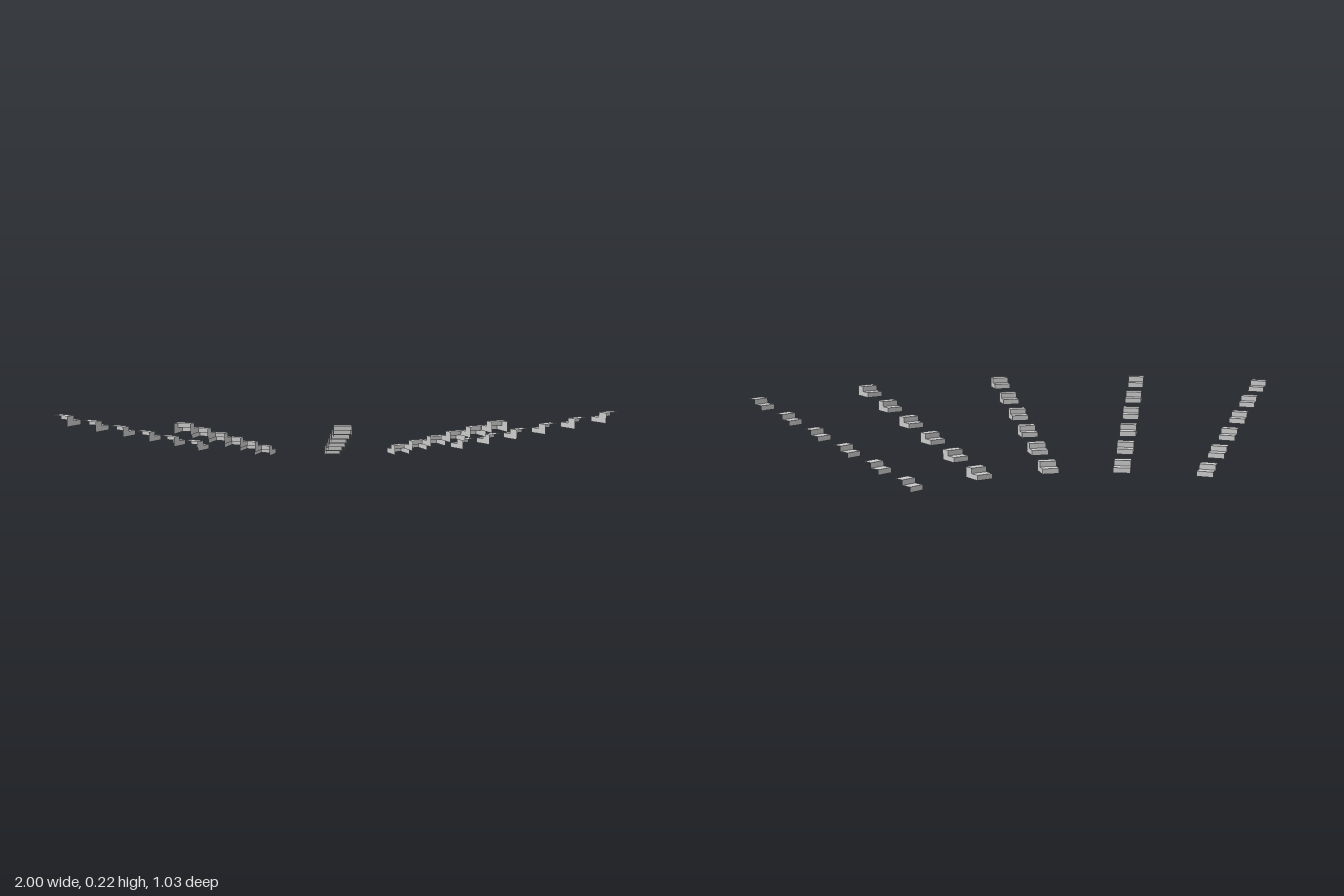
import * as THREE from 'three';

const W = 0.06, D = 0.037, H = 0.01875; // step width, depth and height
const mat = new THREE.MeshStandardMaterial({ color: 0xcccccc, side: THREE.DoubleSide, flatShading: true });

// Stepped side panel, drawn in the z-y plane
const profile = new THREE.Shape([[-D, 0], [D, 0], [D, 2 * H], [0, 2 * H], [0, H], [-D, H]]
  .map(([z, y]) => new THREE.Vector2(z, y)));
const sideGeo = new THREE.ShapeGeometry(profile).rotateY(-Math.PI / 2);
const treadGeo = new THREE.PlaneGeometry(W, D).rotateX(-Math.PI / 2);
const riserGeo = new THREE.PlaneGeometry(W, H).rotateY(Math.PI);

function add(group, name, geo, x, y, z) {
  const mesh = new THREE.Mesh(geo, mat);
  mesh.name = name;
  mesh.position.set(x, y, z);
  group.add(mesh);
}

// Two-step block, open at the back and underneath; the high step faces local +z
function stepBlock(sides) {
  const g = new THREE.Group();
  g.name = 'stepBlock';
  for (let i = 0; i < 2; i++) {
    add(g, 'riser', riserGeo, 0, (i + 0.5) * H, (i - 1) * D);
    add(g, 'tread', treadGeo, 0, (i + 1) * H, (i - 0.5) * D);
  }
  for (const s of sides) {
    const geo = s > 0 ? sideGeo.clone().scale(-1, 1, 1) : sideGeo;
    if (s > 0) { // keep the panel facing outwards
      const a = geo.index.array;
      for (let i = 0; i < a.length; i += 3) [a[i], a[i + 1]] = [a[i + 1], a[i]];
      geo.computeVertexNormals();
    }
    add(g, 'sidePanel', geo, s * W / 2, 0, 0);
  }
  return g;
}

// A straight aisle of six blocks rising outwards from start to end (x, z)
function aisle(name, start, end, sides) {
  const g = new THREE.Group();
  g.name = name;
  const angle = Math.atan2(end[0] - start[0], end[1] - start[1]);
  for (let k = 0; k < 6; k++) {
    const t = k / 5, block = stepBlock(sides);
    block.position.set(
      THREE.MathUtils.lerp(start[0], end[0], t), 2 * H * k,
      THREE.MathUtils.lerp(start[1], end[1], t));
    block.rotation.y = angle;
    g.add(block);
  }
  return g;
}

export function createModel() {
  const model = new THREE.Group();
  model.name = 'fanOfSteps';
  model.add(aisle('centreAisle', [0, -0.29], [0, 0.476], [-1, 1]));
  for (const s of [1, -1]) {
    const label = s > 0 ? 'left' : 'right';
    model.add(aisle(label + 'MiddleAisle', [s * 0.257, -0.337], [s * 0.527, 0.383], [-1, 1]));
    // The outermost aisles have a panel on the inner side only
    model.add(aisle(label + 'OuterAisle', [s * 0.524, -0.472], [s * 0.954, 0.165], [-s]));
  }
  return model;
}
